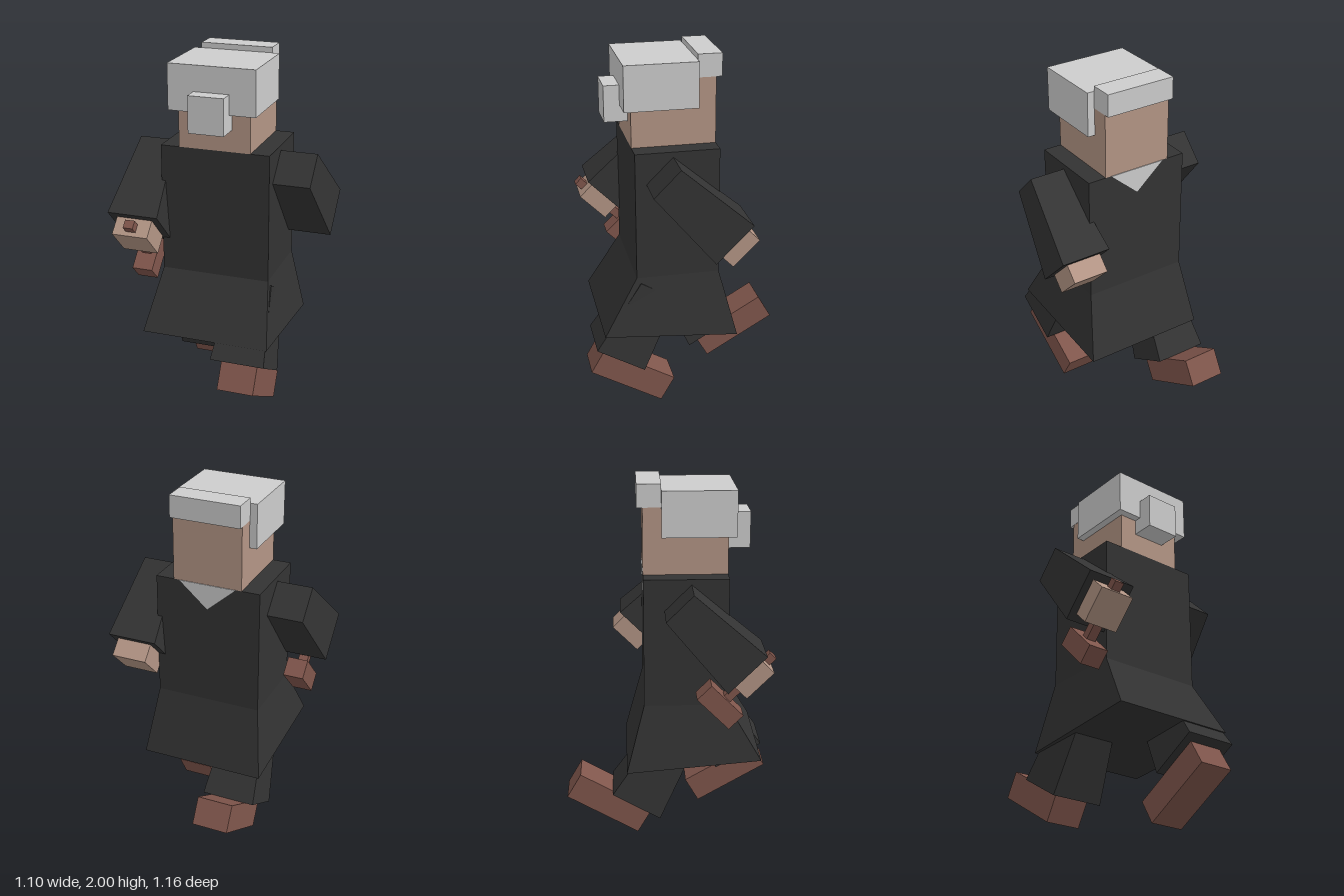
import * as THREE from 'three';

const mat = (name, color) => {
  const m = new THREE.MeshStandardMaterial({ color });
  m.name = name;
  return m;
};

export function createModel() {
  const model = new THREE.Group();
  model.name = 'walkingFigure';
  const hair = mat('paleGrey', 0xcccccc);
  const skin = mat('skin', 0xb39585);
  const cloth = mat('blackCloth', 0x333333);
  const brown = mat('brown', 0x80564c);

  const add = (parent, name, geometry, material, x = 0, y = 0, z = 0) => {
    const mesh = new THREE.Mesh(geometry, material);
    mesh.name = name;
    mesh.position.set(x, y, z);
    parent.add(mesh);
    return mesh;
  };
  // Box given by its lower and upper corners
  const box = (parent, name, material, [x0, y0, z0], [x1, y1, z1]) =>
    add(parent, name, new THREE.BoxGeometry(x1 - x0, y1 - y0, z1 - z0), material,
      (x0 + x1) / 2, (y0 + y1) / 2, (z0 + z1) / 2);
  // Box whose vertices are moved by a rule
  const shaped = (rule) => {
    const g = new THREE.BoxGeometry(1, 1, 1).toNonIndexed();
    const p = g.attributes.position;
    for (let i = 0; i < p.count; i++) p.setXYZ(i, ...rule(p.getX(i), p.getY(i), p.getZ(i)));
    g.computeVertexNormals();
    return g;
  };
  // Square frustum from y0 (width w0) to y1 (width w1)
  const frustum = (y0, w0, y1, w1) => shaped((x, y, z) =>
    y < 0 ? [x * w0, y0, z * w0] : [x * w1, y1, z * w1]);

  // Head and hair
  box(model, 'head', skin, [-0.2, 1.51, -0.145], [0.2, 1.88, 0.315]);
  box(model, 'hairCap', hair, [-0.242, 1.72, -0.045], [0.242, 1.97, 0.357]);
  box(model, 'hairFringe', hair, [-0.202, 1.875, -0.177], [0.202, 2, -0.045]);
  box(model, 'hairBun', hair, [-0.098, 1.63, 0.315], [0.098, 1.83, 0.442]);

  // Robe: straight body and a skirt that widens to a slanted hem
  box(model, 'robeBody', cloth, [-0.305, 0.795, -0.145], [0.305, 1.51, 0.315]);
  add(model, 'robeSkirt', shaped((x, y, z) => {
    if (y > 0) return [x * 0.61, 0.795, z > 0 ? 0.315 : -0.145];
    return [x * 0.718, z > 0 ? 0.475 : 0.41, z > 0 ? 0.505 : -0.245];
  }), cloth);

  // Pale collar triangle at the throat
  const tri = new THREE.Shape([[-0.165, 0], [0, -0.145], [0.165, 0]].map(p => new THREE.Vector2(...p)));
  add(model, 'collar', new THREE.ExtrudeGeometry(tri, { depth: 0.006, bevelEnabled: false }),
    hair, 0, 1.51, -0.149);

  for (const side of [1, -1]) {
    const label = side > 0 ? 'left' : 'right';

    // Arm with a flared sleeve; the left swings back, the right forward
    const arm = new THREE.Group();
    arm.name = label + 'Arm';
    arm.position.set(side * 0.407, 1.409, 0.111 + side * 0.071);
    arm.rotation.x = side * Math.PI / 4;
    model.add(arm);
    add(arm, label + 'Sleeve', frustum(-0.5, 0.287, 0, 0.205), cloth);
    box(arm, label + 'Hand', skin, [-0.102, -0.605, -0.101], [0.102, -0.48, 0.101]);

    // Mallet held in the right hand
    if (side < 0) {
      box(arm, 'malletHandle', brown, [-0.028, -0.58, -0.2], [0.028, -0.532, 0.151]);
      box(arm, 'malletHead', brown, [-0.06, -0.678, -0.3], [0.058, -0.434, -0.19]);
    }

    // Flared trouser leg and shoe, placed from the middle of the trouser hem
    const leg = new THREE.Group();
    leg.name = label + 'Leg';
    leg.position.set(side * 0.205, side > 0 ? 0.318 : 0.203, side > 0 ? 0.42 : -0.193);
    leg.rotation.x = -side * Math.PI / 6;
    model.add(leg);
    add(leg, label + 'Trouser', frustum(0, 0.305, 0.45, 0.226), cloth);
    box(leg, label + 'Shoe', brown, [-0.103, -0.155, -0.36], [0.103, 0, 0.098]);
  }
  return model;
}
